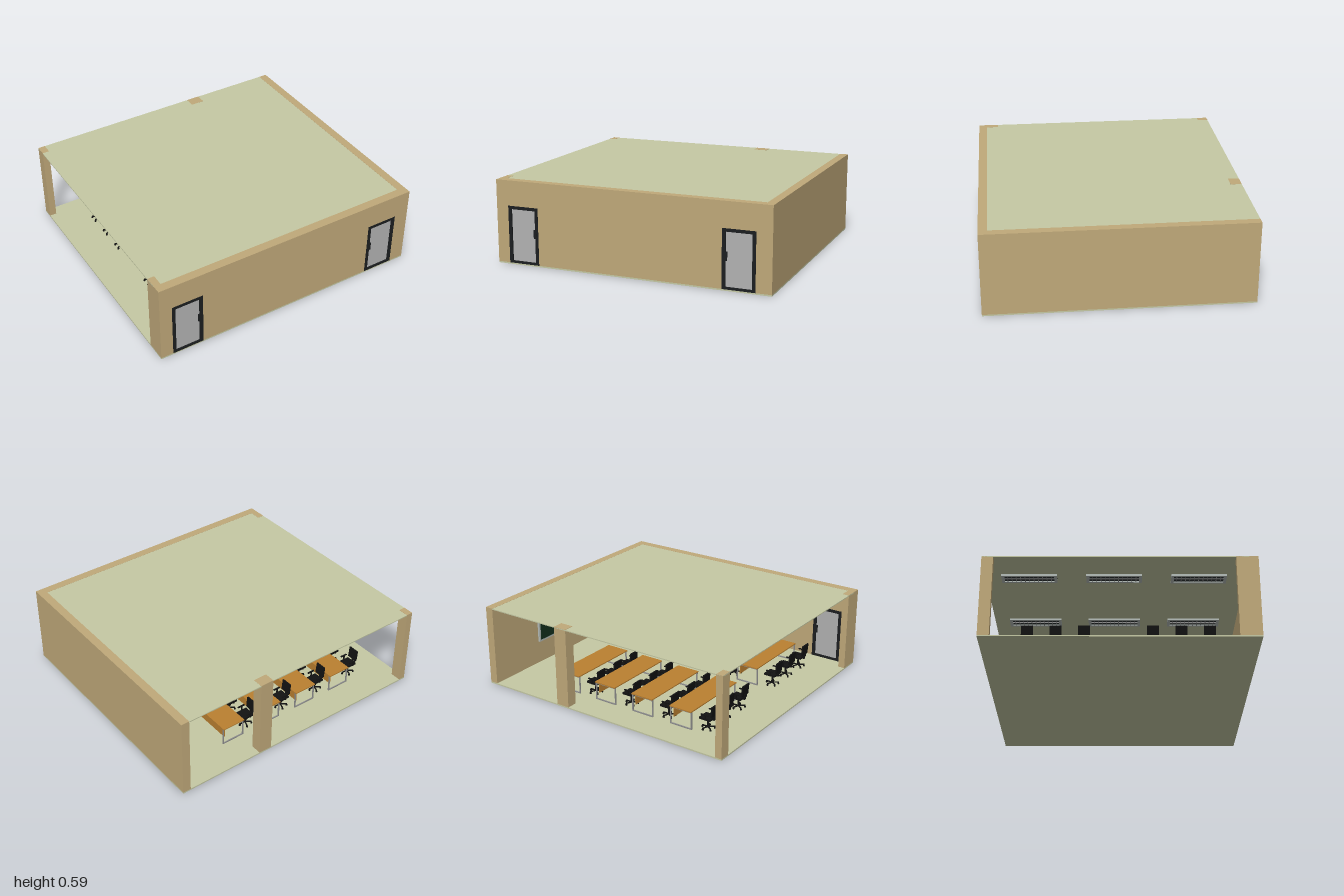
import * as THREE from 'three';

const mat = (color) => new THREE.MeshStandardMaterial({ color });
const M = {
  wall: mat(0xc0a97a), slab: mat(0xc5c9a4), frame: mat(0x1c1e20), glass: mat(0xb2b2b2),
  steel: mat(0x8f8f8f), wood: mat(0xbb8030), black: mat(0x121212), board: mat(0x12301c),
  lamp: mat(0xb4bcb8), louver: mat(0x2c3232),
};

// Box given by its min and max corners
function box(parent, name, material, [x0, y0, z0], [x1, y1, z1]) {
  const m = new THREE.Mesh(new THREE.BoxGeometry(x1 - x0, y1 - y0, z1 - z0), material);
  m.position.set((x0 + x1) / 2, (y0 + y1) / 2, (z0 + z1) / 2);
  m.name = name;
  parent.add(m);
  return m;
}

function cyl(parent, name, material, r0, r1, h, x, y, z, sides = 10) {
  const m = new THREE.Mesh(new THREE.CylinderGeometry(r0, r1, h, sides), material);
  m.position.set(x, y, z);
  m.name = name;
  parent.add(m);
  return m;
}

function group(parent, name, x = 0, y = 0, z = 0) {
  const g = new THREE.Group();
  g.name = name;
  g.position.set(x, y, z);
  parent.add(g);
  return g;
}

const F = 0.01, H = 0.593, Z = 0.918;

// Two walls, corner columns, floor and ceiling
function addShell(root) {
  box(root, 'floor', M.slab, [-1, 0, -Z], [1, F, Z]);
  box(root, 'ceiling', M.slab, [-1, H - 0.008, -Z], [0.94, H - 0.001, 0.856]);
  box(root, 'sideWall', M.wall, [0.94, F, -Z], [1, H, Z]);
  // Front wall with two door openings
  const s = new THREE.Shape();
  s.moveTo(-1, F);
  for (const [a, b] of [[-0.91, -0.68], [0.66, 0.89]]) {
    s.lineTo(a, F); s.lineTo(a, 0.415); s.lineTo(b, 0.415); s.lineTo(b, F);
  }
  s.lineTo(0.94, F); s.lineTo(0.94, H); s.lineTo(-1, H);
  const wall = new THREE.Mesh(new THREE.ExtrudeGeometry(s, { depth: Z - 0.856, bevelEnabled: false }), M.wall);
  wall.position.z = 0.856;
  wall.name = 'frontWall';
  root.add(wall);
  box(root, 'cornerColumn', M.wall, [-1, F, -Z], [-0.95, H, -0.84]);
  box(root, 'backColumn', M.wall, [0.265, F, -Z], [0.365, H, -0.84]);
  box(root, 'frontColumn', M.wall, [-1, F, 0.77], [-0.95, H, 0.856]);
}

// Framed glass door; side tells where the handle sits
function addDoor(root, x, side) {
  const d = group(root, 'door', x, 0, 0);
  const w = 0.115, z0 = 0.852, z1 = 0.92;
  for (const k of [-1, 1]) box(d, 'doorJamb', M.frame, [k * 0.103 - 0.012, F, z0], [k * 0.103 + 0.012, 0.415, z1]);
  box(d, 'doorHead', M.frame, [-w, 0.393, z0], [w, 0.415, z1]);
  box(d, 'doorSill', M.frame, [-w, F, z0], [w, 0.026, z1]);
  box(d, 'doorGlass', M.glass, [-0.092, 0.025, 0.862], [0.092, 0.394, 0.91]);
  const hx = side * 0.092;
  for (const z of [0.852, 0.912]) {
    box(d, 'handlePlate', M.frame, [hx - 0.012, 0.2, z], [hx + 0.012, 0.26, z + 0.009]);
  }
}

// Ceiling lamp with a frame, dark tray and louvres
function addLamp(root, x, z) {
  const l = group(root, 'ceilingLamp', x, H - 0.008, z);
  const w = 0.05, n = 0.19;
  for (const k of [-1, 1]) {
    box(l, 'lampSide', M.lamp, [k * 0.044 - 0.007, -0.014, -n], [k * 0.044 + 0.007, 0, n]);
    box(l, 'lampEnd', M.lamp, [-w, -0.014, k * 0.18 - 0.01], [w, 0, k * 0.18 + 0.01]);
  }
  box(l, 'lampTray', M.louver, [-w, -0.006, -n], [w, 0, n]);
  box(l, 'lampRib', M.steel, [-0.003, -0.012, -n], [0.003, -0.004, n]);
  for (let i = -5; i <= 5; i++) {
    box(l, 'lampLouver', M.steel, [-w + 0.01, -0.012, i * 0.03 - 0.002], [w - 0.01, -0.004, i * 0.03 + 0.002]);
  }
}

// Long desk with loop legs and a front panel
function addDesk(root, x, z) {
  const d = group(root, 'desk', x, F, z);
  const w = 0.088, n = 0.28, h = 0.13, t = 0.008;
  box(d, 'deskTop', M.wood, [-w, h, -n], [w, h + 0.008, n]);
  box(d, 'deskPanel', M.wood, [w - 0.024, 0.05, -n + 0.02], [w - 0.018, h, n - 0.02]);
  for (const k of [-1, 1]) {
    const e = k * (n - 0.012);
    for (const sx of [-1, 1]) {
      const c = sx * (w - t / 2);
      box(d, 'deskLeg', M.steel, [c - t / 2, 0, e - t / 2], [c + t / 2, h, e + t / 2]);
    }
    box(d, 'deskFoot', M.steel, [-w, 0, e - t / 2], [w, t, e + t / 2]);
    box(d, 'deskRail', M.steel, [-w, h - t, e - t / 2], [w, h, e + t / 2]);
  }
}

// Swivel chair facing +x
function addChair(root, x, z) {
  const c = group(root, 'chair', x, F, z);
  for (let i = 0; i < 5; i++) {
    const arm = group(c, 'chairFoot');
    arm.rotation.y = (i * Math.PI * 2) / 5;
    box(arm, 'footBar', M.black, [0, 0.013, -0.004], [0.048, 0.02, 0.004]);
    cyl(arm, 'caster', M.black, 0.007, 0.007, 0.009, 0.045, 0.007, 0, 8).rotation.x = Math.PI / 2;
  }
  cyl(c, 'chairPost', M.black, 0.006, 0.008, 0.068, 0, 0.048, 0);
  box(c, 'chairSeat', M.black, [-0.042, 0.08, -0.043], [0.045, 0.094, 0.043]);
  box(c, 'backSpine', M.black, [-0.054, 0.078, -0.008], [-0.047, 0.13, 0.008]);
  box(c, 'spineBracket', M.black, [-0.052, 0.076, -0.008], [-0.01, 0.082, 0.008]);
  const back = box(c, 'chairBack', M.black, [-0.056, 0.108, -0.04], [-0.045, 0.188, 0.04]);
  back.rotation.z = 0.1;
  for (const k of [-1, 1]) {
    const e = k * 0.048;
    box(c, 'armPost', M.black, [-0.012, 0.084, e - 0.004], [-0.003, 0.122, e + 0.004]);
    box(c, 'armPad', M.black, [-0.03, 0.12, e - 0.006], [0.025, 0.126, e + 0.006]);
  }
}

export function createModel() {
  const root = new THREE.Group();
  root.name = 'classroom';
  addShell(root);
  addDoor(root, -0.795, 1);
  addDoor(root, 0.775, -1);

  // Writing board on the side wall
  box(root, 'boardFrame', M.lamp, [0.925, 0.18, -0.46], [0.94, 0.43, 0.46]);
  box(root, 'boardFace', M.board, [0.921, 0.195, -0.445], [0.926, 0.415, 0.445]);

  // Two columns of four desks, three chairs at each
  for (const z of [-0.43, 0.41]) {
    for (let i = 0; i < 4; i++) {
      const x = -0.535 + i * 0.32;
      addDesk(root, x, z);
      for (const k of [-1, 0, 1]) addChair(root, x - 0.165, z + k * 0.19);
    }
  }
  for (const x of [-0.72, -0.06, 0.6]) for (const z of [-0.62, -0.04, 0.54]) addLamp(root, x, z);
  return root;
}
